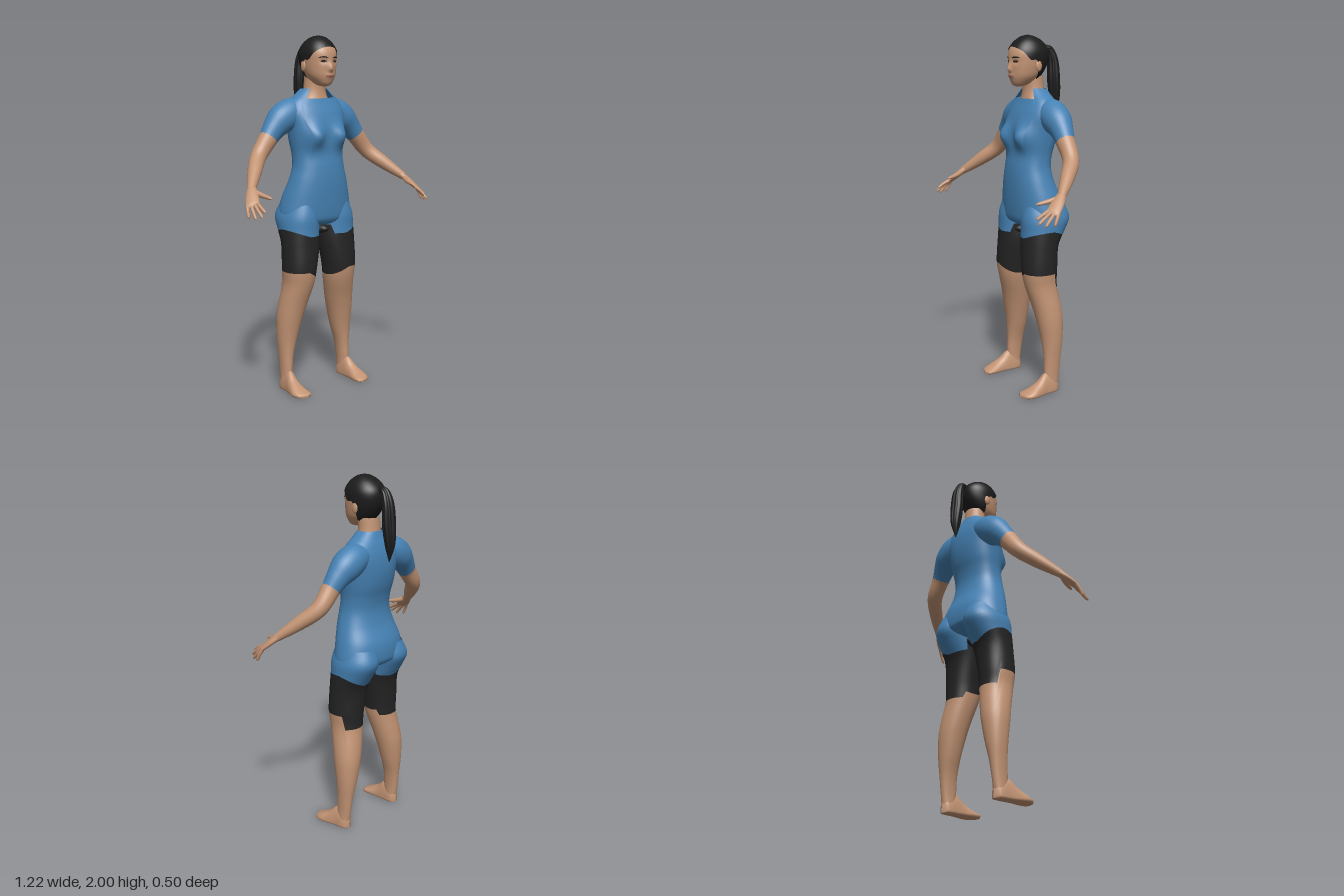
import * as THREE from 'three';

const mat = (name, color, side = THREE.FrontSide) => {
  const m = new THREE.MeshStandardMaterial({ color, side });
  m.name = name;
  return m;
};
const V = (x, y, z) => new THREE.Vector3(x, y, z);
const gauss = (d, s) => Math.exp(-(d * d) / (s * s));

// Smooth interpolation of rows [key, a, b, ...] at a key
function interp(rows, k) {
  let i = 0;
  while (i < rows.length - 2 && k > rows[i + 1][0]) i++;
  const r0 = rows[i], r1 = rows[i + 1], h = r1[0] - r0[0];
  const t = Math.min(1, Math.max(0, (k - r0[0]) / h));
  const p = rows[i - 1] || r0, n = rows[i + 2] || r1;
  return r0.slice(1).map((_, j) => {
    const c = j + 1;
    const m0 = (r1[c] - p[c]) / (r1[0] - p[0]) * h, m1 = (n[c] - r0[c]) / (n[0] - r0[0]) * h;
    return (2 * t ** 3 - 3 * t * t + 1) * r0[c] + (t ** 3 - 2 * t * t + t) * m0
      + (3 * t * t - 2 * t ** 3) * r1[c] + (t ** 3 - t * t) * m1;
  });
}

// Skin a surface point(angle, v); faces are turned to point away from the middle
function loft(point, nu, nv, a0 = 0, a1 = Math.PI * 2) {
  const closed = a1 - a0 > 6.28, cols = closed ? nu : nu + 1;
  const pts = [], idx = [], mid = V(0, 0, 0);
  for (let j = 0; j <= nv; j++) for (let i = 0; i < cols; i++) {
    const p = point(a0 + (a1 - a0) * i / nu, j / nv);
    pts.push(p);
    mid.add(p);
  }
  mid.divideScalar(pts.length);
  for (let j = 0; j < nv; j++) for (let i = 0; i < nu; i++) {
    const k = (i + 1) % cols, a = j * cols + i, b = j * cols + k;
    idx.push(a, b, a + cols, b, b + cols, a + cols);
  }
  let sum = 0;
  for (let i = 0; i < idx.length; i += 3) {
    const [a, b, c] = [0, 1, 2].map(n => pts[idx[i + n]].clone().sub(mid));
    sum += a.dot(b.cross(c));
  }
  if (sum < 0) idx.reverse();
  const g = new THREE.BufferGeometry().setFromPoints(pts);
  g.setIndex(idx);
  g.computeVertexNormals();
  return g;
}

// Point on an upright form; rows are [y, halfWidth, zFront, zBack, centreX]
function formPoint(rows, y, a, p = 1) {
  const [w, zf, zb, cx = 0] = interp(rows, y);
  const s = Math.sin(a), c = Math.cos(a);
  return V(cx + w * Math.sign(s) * Math.abs(s) ** p, y,
    (zf + zb) / 2 + (zf - zb) / 2 * Math.sign(c) * Math.abs(c) ** p);
}

// Tube along points [x, y, z, r1, r2] with r2 measured towards ref
function limb(pts, ref, from = 0, to = 1, nu = 20, nv = 20, ridges = 0) {
  const curve = new THREE.CatmullRomCurve3(pts.map(p => V(p[0], p[1], p[2])));
  const radii = pts.map((p, i) => [i / (pts.length - 1), p[3], p[4] ?? p[3]]);
  return loft((a, v) => {
    const t = from + (to - from) * v, T = curve.getTangent(t);
    const B = ref.clone().addScaledVector(T, -ref.dot(T)).normalize();
    const N = B.clone().cross(T);
    const [r1, r2] = interp(radii, t), k = 1 + (ridges ? 0.07 * Math.cos(ridges * a) : 0);
    return curve.getPoint(t).addScaledVector(N, r1 * k * Math.cos(a)).addScaledVector(B, r2 * k * Math.sin(a));
  }, nu, nv);
}

export function createModel() {
  const model = new THREE.Group();
  model.name = 'standingWoman';
  const skin = mat('skin', 0xc39474), shirt = mat('shirtBlue', 0x4682b4, THREE.DoubleSide);
  const shorts = mat('shortsBlack', 0x242424, THREE.DoubleSide), hair = mat('hairBlack', 0x1c1c1c, THREE.DoubleSide);
  const dark = mat('eyeDark', 0x2a1c18, THREE.DoubleSide), lip = mat('lips', 0xa56a58, THREE.DoubleSide);
  const add = (name, geo, m) => {
    const mesh = new THREE.Mesh(geo, m);
    mesh.name = name;
    model.add(mesh);
  };
  const pair = (name, geo, m) => {
    const g = geo.clone().scale(-1, 1, 1);
    g.setIndex([...g.index.array].reverse());
    g.computeVertexNormals();
    add(name + 'Left', geo, m);
    add(name + 'Right', g, m);
  };
  const ball = (x, y, z, sx, sy, sz) => new THREE.SphereGeometry(1, 20, 14).scale(sx, sy, sz).translate(x, y, z);

  // Shirt body with bust and a dipped neckline
  const torso = [[0.94, 0.02, -0.02, -0.06], [0.955, 0.13, 0.03, -0.14], [0.975, 0.205, 0.052, -0.185],
    [1, 0.226, 0.06, -0.208], [1.1, 0.21, 0.068, -0.205], [1.2, 0.18, 0.07, -0.165], [1.28, 0.158, 0.065, -0.15],
    [1.35, 0.155, 0.055, -0.158], [1.42, 0.163, 0.055, -0.178], [1.5, 0.172, 0.052, -0.19],
    [1.58, 0.185, 0.03, -0.187], [1.64, 0.165, 0.002, -0.172], [1.68, 0.115, -0.014, -0.156], [1.715, 0.072, -0.025, -0.142]];
  add('shirtBody', loft((a, v) => {
    const top = Math.cos(a) > 0.72 ? 1.658 : 1.712;
    const p = formPoint(torso, 0.94 + (top - 0.94) * v, a, 0.88);
    if (Math.cos(a) > 0) p.z += 0.045 * gauss(Math.abs(p.x) - 0.088, 0.05) * gauss(p.y - 1.45, 0.06);
    return p;
  }, 64, 56), shirt);
  add('neck', loft((a, v) => formPoint([[1.6, 0.12, 0.005, -0.15], [1.65, 0.085, -0.01, -0.14],
    [1.7, 0.066, -0.018, -0.135], [1.78, 0.06, -0.015, -0.13]], 1.6 + 0.18 * v, a), 32, 12), skin);

  // Legs: one form cut into shirt hem, shorts and bare leg
  const leg = [[0.03, 0.03, -0.04, -0.11, 0.209], [0.1, 0.03, -0.03, -0.12, 0.208], [0.2, 0.039, -0.03, -0.132, 0.204],
    [0.3, 0.057, -0.022, -0.145, 0.194], [0.42, 0.074, 0, -0.152, 0.18], [0.5, 0.081, 0.018, -0.146, 0.166],
    [0.62, 0.088, 0.052, -0.13, 0.144], [0.7, 0.096, 0.066, -0.132, 0.141], [0.85, 0.109, 0.062, -0.146, 0.126],
    [0.93, 0.112, 0.06, -0.19, 0.123], [1, 0.112, 0.06, -0.225, 0.12], [1.08, 0.09, 0.045, -0.2, 0.11]];
  const hem = a => Math.sin(a) < -0.6 && Math.cos(a) > -0.4 ? 0.945
    : 0.895 + 0.04 * Math.max(0, Math.sin(a)) - 0.025 * Math.max(0, -Math.cos(a));
  const cuff = a => Math.cos(a) < -0.55 ? 0.615 : 0.695 - 0.05 * Math.max(0, -Math.sin(a));
  const legPart = (lo, hi, nv) => loft((a, v) => formPoint(leg, lo(a) + (hi(a) - lo(a)) * v, a, 0.94), 40, nv);
  pair('shirtHem', legPart(hem, () => 1.08, 10), shirt);
  pair('shortsLeg', legPart(cuff, hem, 14), shorts);
  pair('bareLeg', legPart(() => 0.03, cuff, 30), skin);
  add('shortsGusset', ball(0, 0.925, -0.04, 0.04, 0.03, 0.08), shorts);

  // Feet: rows are [z, halfWidth, height, centreX], flat below
  const foot = [[-0.116, 0.003, 0.04, 0.208], [-0.108, 0.024, 0.07, 0.208], [-0.08, 0.034, 0.1, 0.209], [-0.03, 0.036, 0.115, 0.211],
    [0.02, 0.042, 0.075, 0.216], [0.07, 0.05, 0.045, 0.218], [0.11, 0.043, 0.026, 0.212], [0.126, 0.024, 0.018, 0.205], [0.13, 0.003, 0.01, 0.203]];
  pair('foot', loft((a, v) => {
    const z = -0.116 + 0.246 * v, [w, h, cx] = interp(foot, z), s = Math.sin(a);
    return V(cx + w * Math.cos(a), s > 0 ? 0.012 + (h - 0.012) * s : 0.012 * (1 + Math.max(-1, 2 * s)), z);
  }, 28, 28), skin);

  // Arms: sleeve and bare arm share one path
  const arm = [[0.1, 1.595, -0.1, 0.07, 0.07], [0.155, 1.575, -0.1, 0.084, 0.08], [0.215, 1.54, -0.098, 0.083, 0.078],
    [0.265, 1.495, -0.093, 0.066, 0.062], [0.308, 1.443, -0.086, 0.054, 0.05], [0.382, 1.35, -0.072, 0.045, 0.044],
    [0.455, 1.275, 0.0, 0.038, 0.038], [0.535, 1.195, 0.09, 0.022, 0.022]];
  const zAxis = V(0, 0, 1), cut = 4 / 7;
  pair('sleeve', limb(arm, zAxis, 0, cut, 28, 20), shirt);
  pair('bareArm', limb(arm, zAxis, cut - 0.01, 1, 24, 22), skin);

  // Hands
  const across = V(0.7, -0.05, -0.7).normalize();
  pair('palm', limb([[0.522, 1.208, 0.076, 0.02, 0.022], [0.55, 1.17, 0.12, 0.017, 0.034],
    [0.573, 1.133, 0.162, 0.012, 0.036], [0.58, 1.122, 0.176, 0.003, 0.025]], across), skin);
  const tips = [[0.553, 1.096, 0.252], [0.572, 1.073, 0.252], [0.59, 1.06, 0.222], [0.604, 1.062, 0.176]];
  tips.forEach((t, i) => {
    const k = V(0.573, 1.134, 0.16).addScaledVector(across, (i - 1.5) * 0.018), e = V(...t);
    const at = (f, r) => [...k.clone().lerp(e, f).add(V(0.012, 0.008, 0.004).multiplyScalar(f * (1 - f))).toArray(), r];
    pair('finger' + (i + 1), limb([at(0, 0.011), at(0.5, 0.0095), at(0.9, 0.0075), at(1, 0.001)], across, 0, 1, 10, 12), skin);
  });
  pair('thumb', limb([[0.53, 1.19, 0.1, 0.015], [0.508, 1.172, 0.155, 0.013], [0.495, 1.163, 0.2, 0.009],
    [0.49, 1.16, 0.217, 0.001]], V(0, 1, 0), 0, 1, 12, 12), skin);

  // Head with brow, nose, lips and chin modelled into its front
  const head = [[1.722, 0.004, 0.03, 0.01], [1.73, 0.032, 0.048, -0.03], [1.75, 0.054, 0.06, -0.07], [1.78, 0.075, 0.067, -0.105],
    [1.82, 0.087, 0.07, -0.135], [1.86, 0.093, 0.072, -0.153], [1.9, 0.095, 0.07, -0.158], [1.93, 0.088, 0.059, -0.15],
    [1.96, 0.071, 0.036, -0.124], [1.98, 0.05, 0.01, -0.094], [1.991, 0.03, -0.012, -0.066], [1.996, 0.004, -0.036, -0.044]];
  const headPoint = (y, a, out = 0) => {
    const p = formPoint(head, y, a, 0.95);
    if (Math.cos(a) > 0.3) {
      const x = Math.abs(p.x);
      p.z += 0.02 * gauss(x, 0.013) * gauss(y - 1.816, y > 1.816 ? 0.032 : 0.013)
        - 0.007 * gauss(x - 0.036, 0.02) * gauss(y - 1.858, 0.014) + 0.007 * gauss(x, 0.025) * gauss(y - 1.782, 0.012);
    }
    const n = V(p.x, (y - 1.87) * 0.9, p.z + 0.045).normalize();
    return p.addScaledVector(n, out);
  };
  add('head', loft((a, v) => headPoint(1.722 + 0.274 * Math.sin(v * Math.PI / 2), a), 96, 60), skin);
  pair('ear', ball(0.092, 1.835, -0.055, 0.01, 0.03, 0.019), skin);

  // Face details laid on the head surface: angle and height ranges
  const patch = (a0, a1, y0, y1, bend = 0) => loft((a, v) => {
    const f = (a - a0) / (a1 - a0), lens = Math.sqrt(Math.max(0.02, 4 * f * (1 - f)));
    return headPoint((y0 + y1) / 2 + (y1 - y0) * (v - 0.5) * lens + bend * 4 * f * (1 - f), a, 0.002);
  }, 14, 4, a0, a1);
  pair('eye', patch(0.22, 0.58, 1.853, 1.865), dark);
  pair('eyebrow', patch(0.16, 0.7, 1.873, 1.881, 0.005), hair);
  add('mouth', patch(-0.35, 0.35, 1.774, 1.787), lip);

  // Hair cap following the hairline, and ponytail
  const line = [[-1, 1.765], [-0.45, 1.77], [-0.25, 1.81], [0, 1.865], [0.3, 1.868], [0.6, 1.905], [1, 1.935]];
  add('hairCap', loft((a, v) => {
    const lo = interp(line, Math.cos(a))[0];
    return headPoint(lo + (1.996 - lo) * Math.sin(v * Math.PI / 2), a, 0.005);
  }, 72, 30), hair);
  add('ponytail', limb([[0, 1.925, -0.14, 0.016, 0.016], [0, 1.925, -0.178, 0.02, 0.022], [0, 1.87, -0.203, 0.028, 0.032],
    [0, 1.76, -0.212, 0.034, 0.037], [0, 1.65, -0.22, 0.028, 0.026], [0, 1.555, -0.218, 0.002, 0.002]],
    V(1, 0, 0), 0, 1, 54, 30, 9), hair);
  return model;
}
